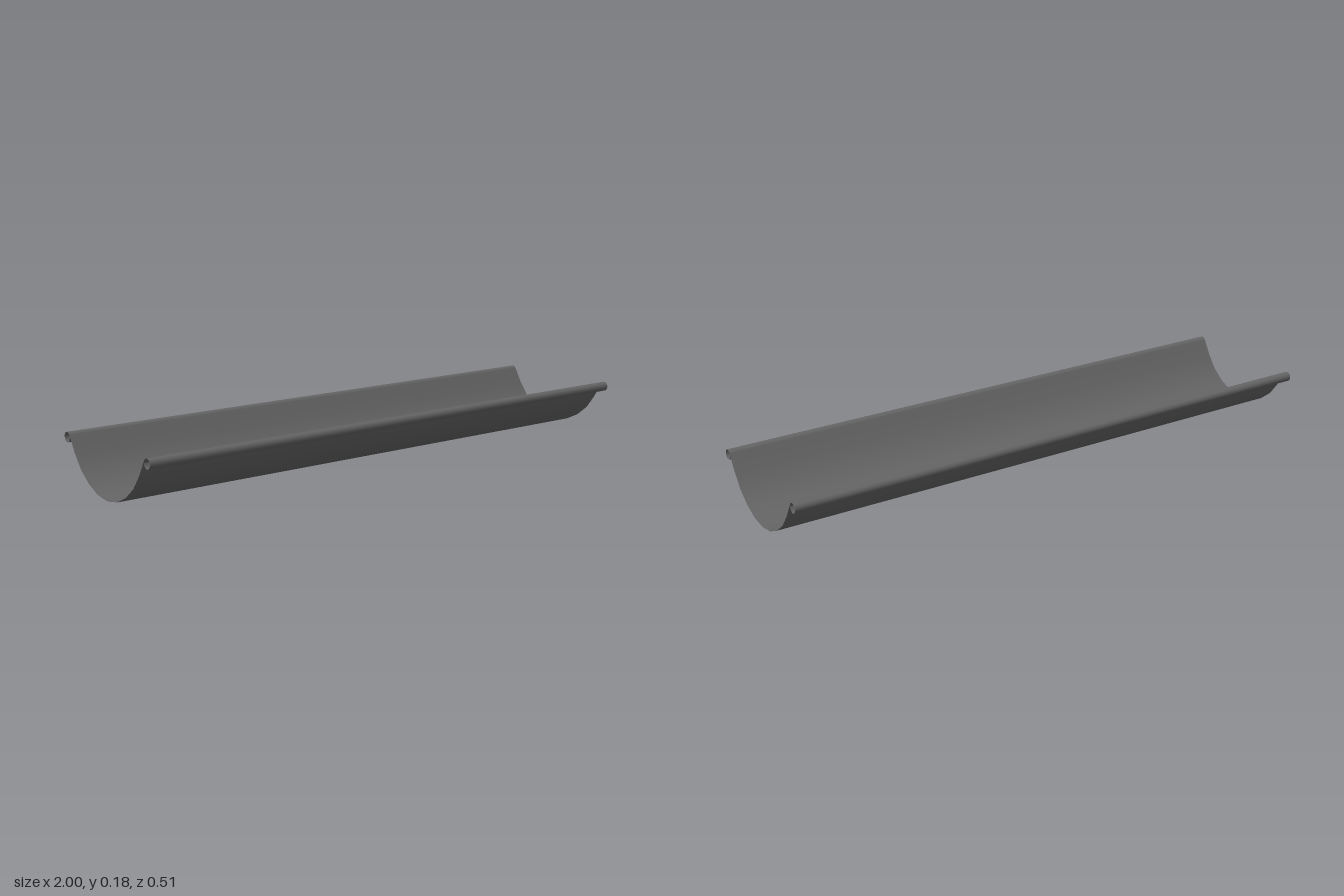
import * as THREE from 'three';

const HALF_LENGTH = 1;
const BEAD = { z: 0.24, y: 0.165, r: 0.017, segments: 12 };

// Half of the cross-section as [z, y], from the channel's bottom to the end of the rolled bead
const channelHalf = [[0, 0.003], [0.06, 0.0125], [0.112, 0.037], [0.158, 0.073], [0.194, 0.12]];
const beadHalf = [];
for (let i = 0; i <= BEAD.segments; i++) {
  const a = THREE.MathUtils.degToRad(150 - (330 * i) / BEAD.segments);
  beadHalf.push([BEAD.z + BEAD.r * Math.cos(a), BEAD.y + BEAD.r * Math.sin(a)]);
}
const half = [...channelHalf, ...beadHalf];
const mirrored = half.slice(1).reverse().map(([z, y]) => [-z, y]);
const profile = [...mirrored, ...half];

// Smooth normal of the sheet at a profile point
function profileNormal(i) {
  const p = profile[Math.max(i - 1, 0)];
  const q = profile[Math.min(i + 1, profile.length - 1)];
  return new THREE.Vector3(0, q[0] - p[0], p[1] - q[1]).normalize();
}

// Thin sheet along x, over the profile points first..last
function sheet(name, first, last, material) {
  const positions = [], normals = [], index = [];
  for (let i = first; i <= last; i++) {
    const [z, y] = profile[i];
    const n = profileNormal(i);
    for (const x of [-HALF_LENGTH, HALF_LENGTH]) {
      positions.push(x, y, z);
      normals.push(n.x, n.y, n.z);
    }
    if (i < last) {
      const a = (i - first) * 2;
      index.push(a, a + 2, a + 1, a + 1, a + 2, a + 3);
    }
  }
  const geometry = new THREE.BufferGeometry();
  geometry.setAttribute('position', new THREE.Float32BufferAttribute(positions, 3));
  geometry.setAttribute('normal', new THREE.Float32BufferAttribute(normals, 3));
  geometry.setIndex(index);
  const mesh = new THREE.Mesh(geometry, material);
  mesh.name = name;
  return mesh;
}

export function createModel() {
  const group = new THREE.Group();
  group.name = 'halfRoundGutter';
  const metal = new THREE.MeshStandardMaterial({ color: 0x666666, side: THREE.DoubleSide });
  metal.name = 'greyMetal';

  const end = profile.length - 1;
  group.add(
    sheet('backBead', 0, BEAD.segments, metal),
    sheet('channel', BEAD.segments, end - BEAD.segments, metal),
    sheet('frontBead', end - BEAD.segments, end, metal),
  );
  return group;
}
